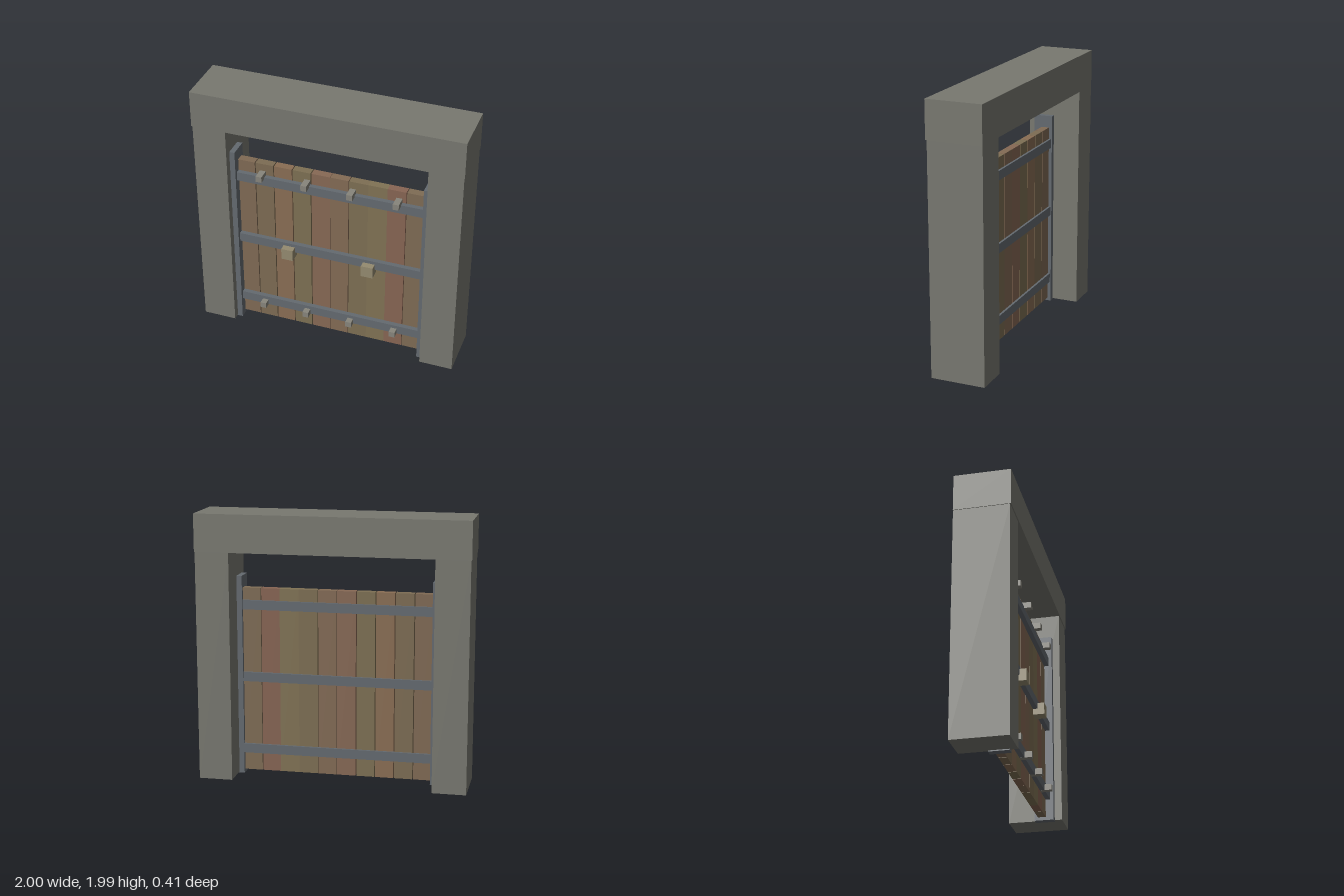
import * as THREE from 'three';

const material = (color) => new THREE.MeshStandardMaterial({ color });

export function createModel() {
  const model = new THREE.Group();
  model.name = 'woodenGate';
  const stone = material(0x787870);
  const iron = material(0x646a70);
  const stud = material(0x87857c);
  const brass = material(0x958b70);

  // Box given by its extents along each axis
  const box = (name, [x0, x1], [y0, y1], [z0, z1], mat) => {
    const mesh = new THREE.Mesh(new THREE.BoxGeometry(x1 - x0, y1 - y0, z1 - z0), mat);
    mesh.position.set((x0 + x1) / 2, (y0 + y1) / 2, (z0 + z1) / 2);
    mesh.name = name;
    model.add(mesh);
  };
  const around = (c, size) => [c - size / 2, c + size / 2];

  // Stone frame
  box('lintel', [-1, 1], [1.71, 1.987], [-0.205, 0.208], stone);
  for (const [side, s] of [['left', 1], ['right', -1]]) {
    box(`${side}Pillar`, around(s * 0.87, 0.25), [0.008, 1.71], [-0.205, 0.2], stone);
    // Iron guide rail set into the pillar
    box(`${side}Rail`, around(s * 0.7325, 0.055), [0, 1.51], [0, 0.145], iron);
  }

  // Planks: right edge gap differs from joint to joint
  const colors = [0x806a54, 0x7d6c53, 0x8a6e54, 0x7e7053, 0x876955,
    0x836b55, 0x7e6f53, 0x817355, 0x876553, 0x7f6c55];
  const gaps = [0.007, 0.007, 0.007, 0.007, 0.002, 0.005, 0, 0, 0.005, 0];
  const pitch = 0.1425;
  colors.forEach((color, i) => {
    const x = (i - 5) * pitch;
    box(`plank${i + 1}`, [x, x + pitch - gaps[i]], [0.025, 1.42], [0.025, 0.085], material(color));
  });

  // Iron cross bars on both faces
  for (const y of [0.195, 0.75, 1.295]) {
    box('frontBar', [-0.71, 0.71], around(y, 0.07), [0.085, 0.12], iron);
    box('backBar', [-0.71, 0.71], around(y, 0.07), [0.008, 0.025], iron);
  }

  // Square studs on the top and bottom bars
  for (const y of [0.182, 1.34])
    for (const x of [-0.515, -0.172, 0.172, 0.515])
      box('stud', around(x, 0.045), around(y, 0.045), [0.085, 0.172], stud);

  // Handle blocks on the middle bar
  for (const x of [-0.31, 0.31])
    box('handleBlock', around(x, 0.09), around(0.715, 0.09), [0.085, 0.17], brass);

  return model;
}
